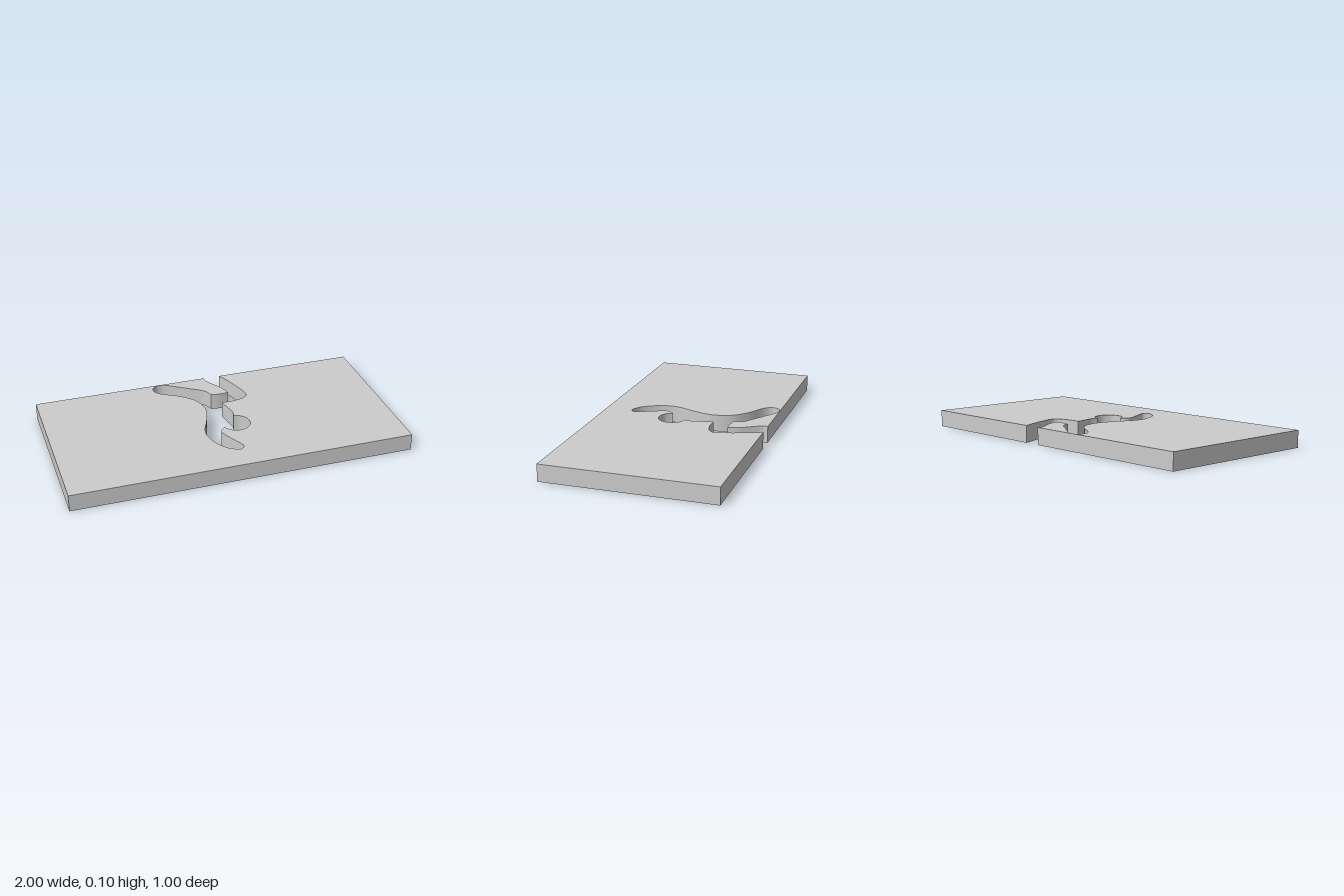
import * as THREE from 'three';
import { toCreasedNormals } from 'three/addons/utils/BufferGeometryUtils.js';

const THICKNESS = 0.1;

// Smooth run of outline points between two sharp corners
function run(points, perSpan = 5) {
  const curve = new THREE.SplineCurve(points.map(([x, y]) => new THREE.Vector2(x, y)));
  return curve.getPoints((points.length - 1) * perSpan);
}

export function createModel() {
  const group = new THREE.Group();
  group.name = 'slabWithCutout';

  // Outer side of the limb that opens through the back edge
  const openLimbOuter = run([
    [0.155, 0.5], [0.19, 0.42], [0.225, 0.32], [0.243, 0.245],
    [0.225, 0.205], [0.175, 0.187], [0.12, 0.18], [0.073, 0.183],
  ]);
  // Short side down to the round pocket
  const neck = run([[0.073, 0.183], [0.085, 0.12], [0.098, 0.06], [0.09, 0.015]]);
  // Round pocket
  const rad = THREE.MathUtils.degToRad;
  const pocket = new THREE.EllipseCurve(0.08, -0.067, 0.082, 0.082, rad(83), rad(-163), true).getPoints(32);
  // Front limb, the long curved side and the closed back limb
  const longSide = run([
    [0.005, -0.09], [-0.022, -0.11], [-0.032, -0.145], [-0.005, -0.21], [0.03, -0.28],
    [0.043, -0.315], [0.025, -0.34], [0, -0.34], [-0.055, -0.305], [-0.1, -0.235],
    [-0.123, -0.155], [-0.115, -0.08], [-0.085, -0.01], [-0.055, 0.075], [-0.044, 0.14],
    [-0.055, 0.21], [-0.085, 0.27], [-0.155, 0.335], [-0.245, 0.388], [-0.282, 0.43],
    [-0.282, 0.465], [-0.262, 0.49], [-0.23, 0.497], [-0.19, 0.483], [-0.08, 0.41],
    [-0.005, 0.36], [0.022, 0.33], [0.037, 0.29],
  ]);
  // Inner sides of the open limb
  const crotch = run([[0.037, 0.29], [0.09, 0.283], [0.144, 0.286]]);
  const openLimbInner = run([[0.144, 0.286], [0.125, 0.35], [0.085, 0.415], [0.055, 0.47], [0.055, 0.5]]);

  // Rectangle with the winding notch cut in from its back edge
  const corner = (x, y) => new THREE.Vector2(x, y);
  const outline = [
    corner(-1, -0.5), corner(1, -0.5), corner(1, 0.5),
    ...openLimbOuter, ...neck, ...pocket, ...longSide, ...crotch, ...openLimbInner,
    corner(-1, 0.5),
  ].filter((p, i, all) => i === 0 || p.distanceTo(all[i - 1]) > 0.002);

  const geometry = new THREE.ExtrudeGeometry(new THREE.Shape(outline), {
    depth: THICKNESS, bevelEnabled: false,
  });
  geometry.rotateX(-Math.PI / 2);

  const slab = new THREE.Mesh(
    toCreasedNormals(geometry, rad(35)),
    new THREE.MeshStandardMaterial({ color: 0xcccccc }),
  );
  slab.name = 'slab';
  group.add(slab);
  return group;
}
